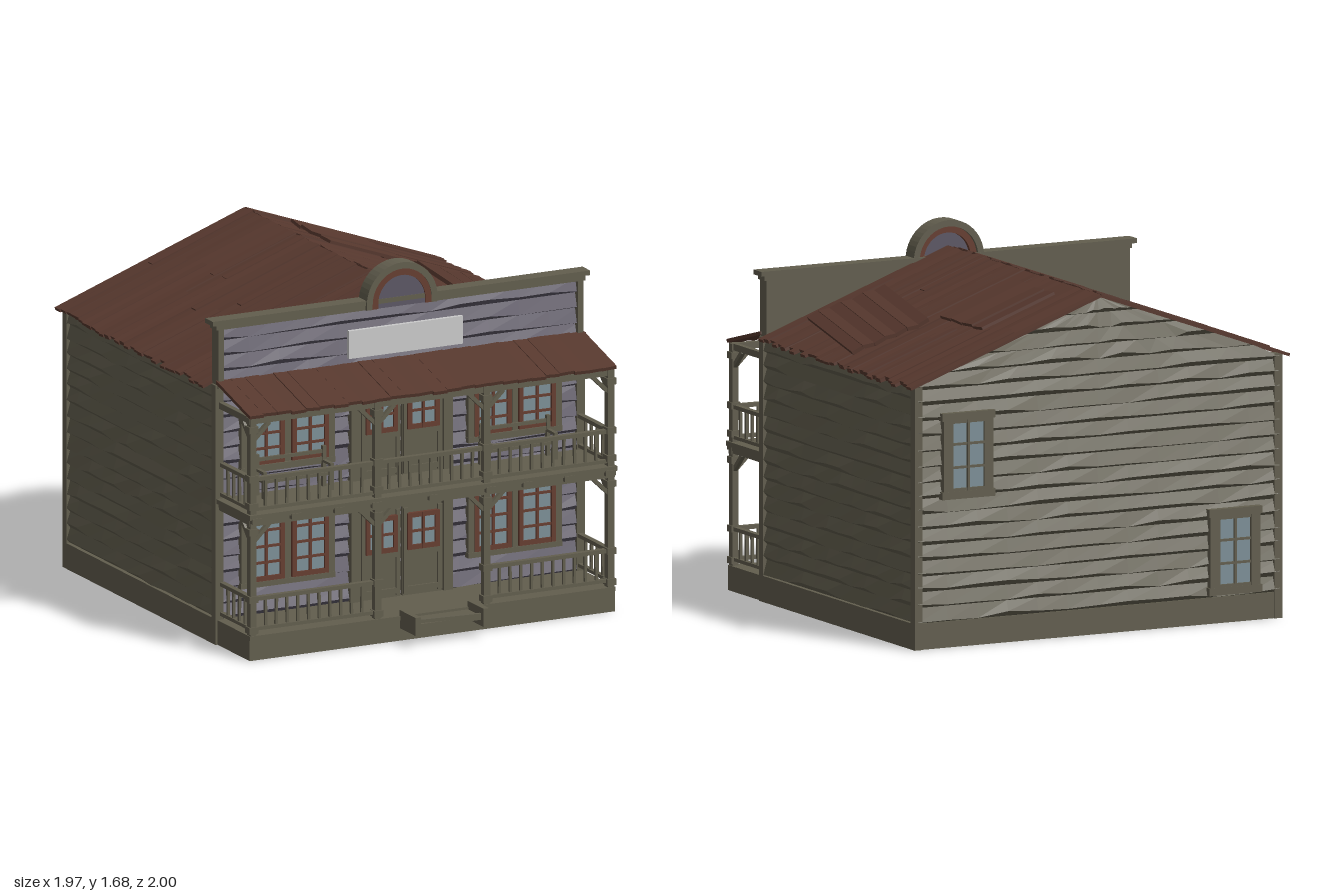
import * as THREE from 'three';

const mat = (name, color) => Object.assign(new THREE.MeshStandardMaterial({ color }), { name });
const wood = mat('weathered wood', 0x625e4e);
const paint = mat('faded purple paint', 0x5c5765);
const rust = mat('rusty roof', 0x57382e);
const frame = mat('red brown frame', 0x663d30);
const glass = mat('window glass', 0x7d9098);
const white = mat('blank sign', 0xcbcbcb);

let seed = 7;
const rnd = () => (seed = (seed * 16807) % 2147483647) / 2147483647;
const jit = (a) => (rnd() - 0.5) * 2 * a;

function group(name, parent) {
  const g = new THREE.Group();
  g.name = name;
  parent.add(g);
  return g;
}
function box(parent, name, m, w, h, d, x, y, z) {
  const b = new THREE.Mesh(new THREE.BoxGeometry(w, h, d), m);
  b.name = name;
  b.position.set(x, y, z);
  parent.add(b);
  return b;
}

// Lapped boards: every second row is a ragged lip standing proud of the wall
function siding(parent, name, m, half, y0, y1, halfAt = () => half) {
  const n = Math.round((y1 - y0) / 0.073), pitch = (y1 - y0) / n, cols = 12;
  const geo = new THREE.PlaneGeometry(half * 2, y1 - y0, cols, n * 2);
  const p = geo.attributes.position;
  for (let i = 0; i < p.count; i++) {
    const row = Math.floor(i / (cols + 1)), lip = row % 2;
    let y = y1 - (row / 2) * pitch;
    if (lip) y += -pitch / 2 + 0.004 + rnd() * 0.02;
    p.setXYZ(i, (p.getX(i) / half) * halfAt(y), y, lip ? 0.018 : 0);
  }
  const flat = geo.toNonIndexed();
  flat.computeVertexNormals();
  const mesh = new THREE.Mesh(flat, m);
  mesh.name = name;
  parent.add(mesh);
  return mesh;
}

// Glazed frame with muntins, facing +z
function sash(parent, name, m, x, y, z, w, h, cols, rows) {
  const g = group(name, parent);
  g.position.set(x, y, z);
  box(g, 'pane', glass, w, h, 0.008, 0, 0, 0);
  for (let i = 0; i <= cols; i++) {
    const t = i % cols ? 0.012 : 0.022;
    box(g, 'upright', m, t, h + 0.02, 0.022, (i / cols - 0.5) * w, 0, 0.004);
  }
  for (let i = 0; i <= rows; i++) {
    const t = i % rows ? 0.011 : 0.022;
    box(g, 'crossbar', m, w + 0.02, t, 0.02, 0, (i / rows - 0.5) * h, 0.004);
  }
  return g;
}

// Balustrade running along local x
function railing(parent, x, y, z, len, turn = 0) {
  const g = group('railing', parent);
  g.position.set(x, y, z);
  g.rotation.y = turn;
  box(g, 'topRail', wood, len, 0.018, 0.026, 0, 0.15, 0);
  box(g, 'bottomRail', wood, len, 0.016, 0.022, 0, 0.01, 0);
  const n = Math.max(3, Math.round(len / 0.055));
  for (let i = 1; i < n; i++)
    box(g, 'baluster', wood, 0.012, 0.14, 0.012, (i / n - 0.5) * len, 0.08, 0).rotation.z = jit(0.03);
}

export function createModel() {
  const model = group('saloon', new THREE.Group());

  // Foundation, open underneath
  const base = group('foundation', model);
  box(base, 'floor', wood, 1.84, 0.02, 1.46, 0, 0.1, -0.23);
  for (const s of [-1, 1]) {
    box(base, 'sideSkirt', wood, 0.03, 0.12, 1.46, s * 0.925, 0.06, -0.23);
    box(base, 'porchSideSkirt', wood, 0.03, 0.1, 0.33, s * 0.915, 0.05, 0.675);
  }
  for (const z of [-0.955, 0.49]) box(base, 'crossSkirt', wood, 1.86, 0.12, 0.03, 0, 0.06, z);
  box(base, 'middleBeam', wood, 0.1, 0.09, 1.44, 0, 0.045, -0.23);
  box(base, 'porchSkirt', wood, 1.86, 0.1, 0.025, 0, 0.05, 0.835);
  box(base, 'porchDeck', wood, 1.86, 0.02, 0.35, 0, 0.105, 0.675);

  // Walls
  const walls = group('walls', model);
  for (const s of [-1, 1]) {
    const w = siding(walls, 'sideSiding', wood, 0.73, 0.12, 1.215);
    w.rotation.y = s * Math.PI / 2;
    w.position.set(s * 0.92, 0, -0.235);
    for (const z of [-0.957, 0.51]) box(walls, 'cornerBoard', wood, 0.04, 1.215, 0.04, s * 0.92, 0.6075, z);
  }
  const back = siding(walls, 'backSiding', wood, 0.925, 0.12, 1.545, (y) => 0.925 * Math.min(1, Math.max(0, (1.55 - y) / 0.335)));
  back.rotation.y = Math.PI;
  back.position.z = -0.96;
  siding(walls, 'frontSiding', paint, 0.915, 0.11, 1.49).position.z = 0.51;

  // Back windows with plain surrounds
  const rear = group('rearWindows', model);
  rear.rotation.y = Math.PI;
  for (const [x, y] of [[-0.675, 0.88], [0.69, 0.33]]) {
    sash(rear, 'rearWindow', wood, x, y, 0.984, 0.18, 0.32, 2, 3);
    for (const s of [-1, 1]) {
      box(rear, 'casing', wood, 0.035, 0.38, 0.03, x + s * 0.11, y, 0.982);
      box(rear, 'sill', wood, 0.27, 0.035, 0.035, x, y + s * 0.18, 0.982);
    }
  }

  // Main roof: strips laid down each slope, plus loose patches
  const ang = Math.atan2(0.35, 0.97), len = 1.03;
  const slopes = [0, Math.PI].map((turn) => {
    const half = group('roofHalf', model);
    half.position.set(0, 1.555, -0.26);
    half.rotation.y = turn;
    const slope = group('roofSlope', half);
    slope.rotation.z = -ang;
    const n = 32, w = 1.48 / n;
    for (let i = 0; i < n; i++) {
      const l = len + jit(0.016), z = -0.74 + (i + 0.5) * w;
      box(slope, 'roofStrip', rust, l, 0.014, w, l / 2, jit(0.003), z).rotation.x = jit(0.1);
      if (rnd() < 0.45) {
        const k = 0.35 + rnd() * 0.35;
        box(slope, 'roofOverlay', rust, k, 0.008, w * 0.9, rnd() < 0.5 ? k / 2 : l - k / 2, 0.009, z).rotation.x = jit(0.08);
      }
    }
    return slope;
  });
  const panel = group('loosePanel', slopes[0]);
  panel.position.set(0.686, 0.026, 0.27);
  panel.rotation.y = -0.2;
  for (let i = 0; i < 7; i++)
    box(panel, 'panelStrip', rust, 0.056, 0.018, 0.68 + jit(0.015), (i - 3) * 0.055, 0, 0).rotation.z = i % 2 ? 0.16 : -0.16;
  const patch = group('roofPatch', slopes[0]);
  patch.position.set(0.31, 0.022, -0.31);
  for (let i = 0; i < 4; i++)
    box(patch, 'patchStrip', rust, 0.4 + jit(0.01), 0.014, 0.1, 0, 0, (i - 1.5) * 0.1).rotation.x = jit(0.12);

  // False front with cornice and arch
  const top = group('falseFront', model);
  box(top, 'parapetBack', wood, 1.85, 0.31, 0.03, 0, 1.34, 0.493);
  box(top, 'cornice', wood, 1.92, 0.022, 0.075, 0, 1.508, 0.505);
  box(top, 'corniceMoulding', wood, 1.88, 0.025, 0.06, 0, 1.487, 0.508);
  for (const s of [-1, 1]) box(top, 'endBoard', wood, 0.03, 0.28, 0.06, s * 0.915, 1.34, 0.508);
  const arch = (name, m, r, hole, d, z) => {
    const s = new THREE.Shape();
    s.moveTo(r, -0.025).lineTo(r, 0).absarc(0, 0, r, 0, Math.PI, false).lineTo(-r, -0.025);
    if (hole) s.lineTo(-hole, -0.025).lineTo(-hole, 0).absarc(0, 0, hole, Math.PI, 0, true).lineTo(hole, -0.025);
    const mesh = new THREE.Mesh(new THREE.ExtrudeGeometry(s, { depth: d, bevelEnabled: false, curveSegments: 12 }), m);
    mesh.name = name;
    mesh.position.set(0, 1.5, z);
    top.add(mesh);
  };
  arch('archHood', wood, 0.18, 0.15, 0.08, 0.47);
  arch('archTrim', frame, 0.155, 0.12, 0.062, 0.485);
  arch('archInfill', paint, 0.14, 0, 0.035, 0.505);
  box(top, 'sign', white, 0.58, 0.13, 0.02, 0.02, 1.325, 0.54);

  // Front windows and doors, one set per storey
  const facade = group('facade', model);
  for (const [y, h, floor] of [[0.435, 0.3, 0.115], [0.965, 0.28, 0.68]]) {
    for (const s of [-1, 1]) {
      for (const x of [0.465, 0.69]) sash(facade, 'frontWindow', frame, s * x, y, 0.535, 0.165, h, 2, 4);
      for (const x of [0.355, 0.578, 0.8]) box(facade, 'windowCasing', wood, 0.03, h + 0.06, 0.03, s * x, y, 0.53);
      for (const e of [-1, 1])
        box(facade, 'windowHead', wood, 0.48, 0.025, 0.035, s * 0.578, y + e * (h / 2 + 0.025), 0.53);
      const d = group('door', facade);
      d.position.set(s * 0.106, floor, 0.53);
      box(d, 'leaf', wood, 0.2, 0.42, 0.02, 0, 0.21, 0);
      sash(d, 'doorWindow', frame, 0, 0.3, 0.014, 0.14, 0.15, 2, 2);
      for (const e of [-1, 1]) {
        box(d, 'stile', wood, 0.022, 0.4, 0.012, e * 0.087, 0.21, 0.014);
        box(d, 'rail', wood, 0.19, 0.025, 0.012, 0, 0.115 + e * 0.085, 0.014);
      }
      box(facade, 'doorJamb', wood, 0.045, 0.45, 0.04, s * 0.235, floor + 0.225, 0.53);
    }
    box(facade, 'doorHead', wood, 0.53, 0.035, 0.045, 0, floor + 0.44, 0.53);
  }

  // Porch structure
  const porch = group('porch', model);
  box(porch, 'balconyFloor', wood, 1.87, 0.022, 0.34, 0, 0.672, 0.69);
  box(porch, 'balconyBeam', wood, 1.86, 0.035, 0.03, 0, 0.645, 0.83);
  box(porch, 'roofBeam', wood, 1.86, 0.03, 0.03, 0, 1.12, 0.825);
  for (const x of [-0.9, -0.7, -0.48, -0.29, 0, 0.29, 0.48, 0.69, 0.9])
    box(porch, 'joist', wood, 0.05, 0.025, 0.34, x, 0.655, 0.695);
  const posts = [-0.91, -0.275, 0.28, 0.91];
  posts.forEach((x, i) => {
    box(porch, 'post', wood, 0.032, 1.03, 0.032, x, 0.62, 0.83);
    for (const y of [0.14, 0.285, 0.6, 0.72, 0.85, 1.08]) box(porch, 'postCollar', wood, 0.046, 0.03, 0.046, x, y, 0.83);
    for (const y of [0.59, 1.065]) {
      for (const s of [-1, 1])
        if ((i > 0 || s > 0) && (i < 3 || s < 0))
          box(porch, 'brace', wood, 0.018, 0.12, 0.02, x + s * 0.045, y, 0.83).rotation.z = -s * 0.8;
      if (i % 3 === 0) box(porch, 'sideBrace', wood, 0.02, 0.12, 0.018, x, y, 0.785).rotation.x = -0.8;
    }
    if (i % 3 === 0) for (const y of [0.645, 1.12]) box(porch, 'sideBeam', wood, 0.025, 0.03, 0.32, x, y, 0.68);
  });
  for (const y of [0.135, 0.695]) {
    for (const s of [-1, 1]) {
      railing(porch, s * 0.595, y, 0.83, 0.6);
      railing(porch, s * 0.91, y, 0.68, 0.28, Math.PI / 2);
    }
  }
  railing(porch, 0, 0.695, 0.83, 0.53);

  // Porch roof strips
  const awning = group('porchRoof', model);
  awning.position.set(0, 1.228, 0.525);
  awning.rotation.x = 0.255;
  for (let i = 0; i < 26; i++) {
    const w = 1.87 / 26, l = 0.34 + jit(0.006);
    box(awning, 'porchRoofStrip', rust, w, 0.016, l, -0.935 + (i + 0.5) * w, jit(0.002), l / 2).rotation.z = jit(0.06);
  }

  // Balcony benches
  for (const s of [-1, 1]) {
    const b = group('bench', model);
    b.position.set(s * 0.57, 0.683, 0.58);
    box(b, 'seat', wood, 0.36, 0.014, 0.09, 0, 0.08, 0.01);
    for (const y of [0.13, 0.165]) box(b, 'backSlat', wood, 0.36, 0.016, 0.014, 0, y, -0.03);
    for (const e of [-1, 1]) {
      box(b, 'backLeg', wood, 0.018, 0.19, 0.018, e * 0.17, 0.095, -0.03);
      box(b, 'frontLeg', wood, 0.018, 0.12, 0.018, e * 0.17, 0.06, 0.045);
      box(b, 'armRest', wood, 0.018, 0.012, 0.09, e * 0.17, 0.12, 0.01);
    }
  }

  // Front step
  const step = group('frontStep', model);
  for (const x of [-0.15, 0.195]) box(step, 'stringer', wood, 0.028, 0.085, 0.16, x, 0.1, 0.92);
  box(step, 'tread', wood, 0.33, 0.018, 0.135, 0.022, 0.095, 0.91);
  box(step, 'treadEdge', wood, 0.33, 0.016, 0.015, 0.022, 0.112, 0.97).rotation.z = -0.03;

  return model;
}
